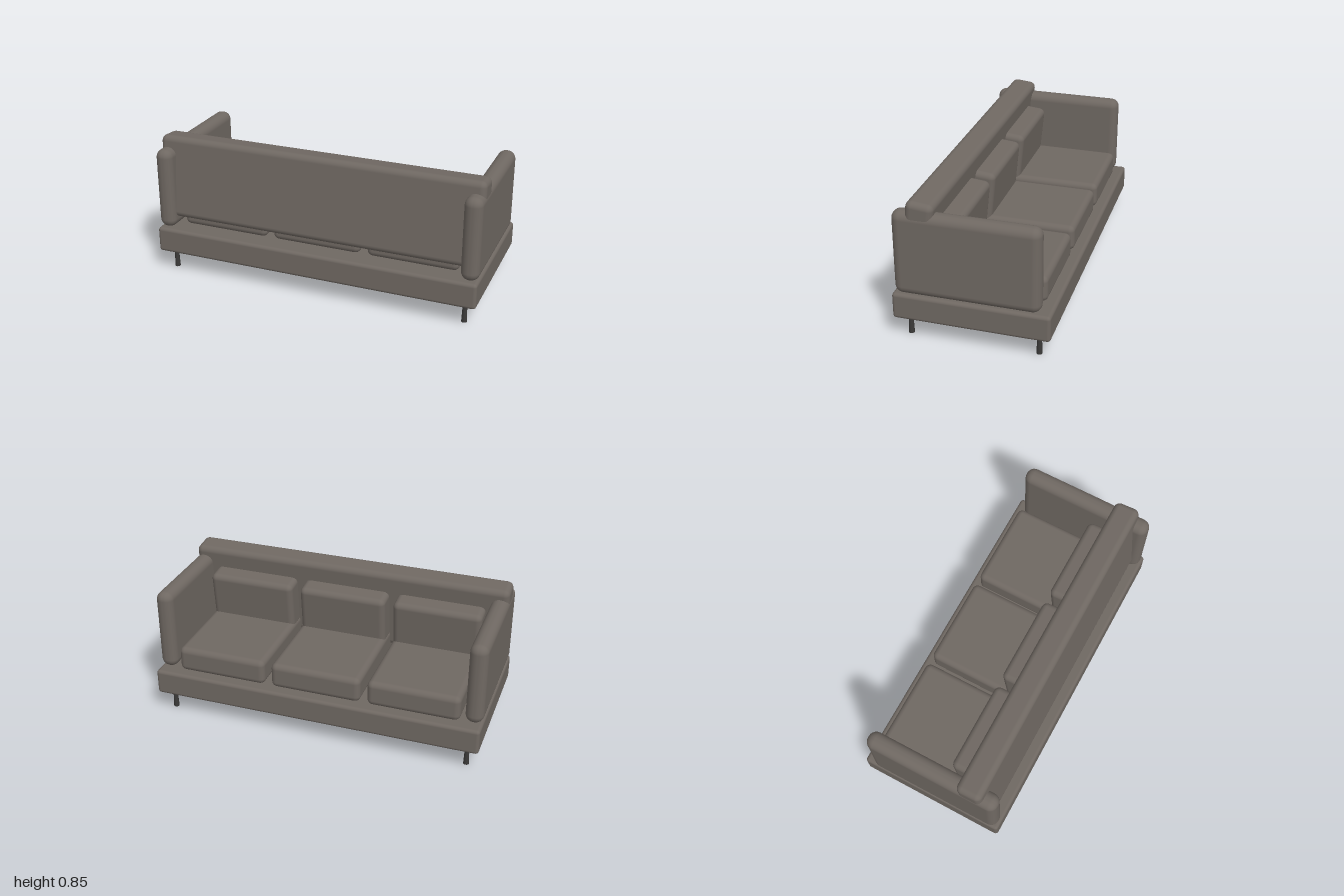
import * as THREE from 'three';
import { RoundedBoxGeometry } from 'three/addons/geometries/RoundedBoxGeometry.js';

const fabric = new THREE.MeshStandardMaterial({ color: 0x6f6862 });
const legMaterial = new THREE.MeshStandardMaterial({ color: 0x3a3938 });
const LEAN = -0.1; // backrest and back cushions tip towards the seat

// Rounded upholstery block: size and centre as [x, y, z]
function block(name, size, centre, radius, lean = 0) {
  const mesh = new THREE.Mesh(new RoundedBoxGeometry(...size, 3, radius), fabric);
  mesh.name = name;
  mesh.position.set(...centre);
  mesh.rotation.x = lean;
  return mesh;
}

export function createModel() {
  const sofa = new THREE.Group();
  sofa.name = 'sofa';

  // Platform and full-width leaning backrest
  sofa.add(block('base', [2, 0.157, 0.896], [0, 0.2025, 0], 0.02));
  sofa.add(block('backrest', [1.994, 0.505, 0.157], [0, 0.59, 0.292], 0.036, LEAN));

  // Arms
  for (const side of [-1, 1]) {
    const name = side > 0 ? 'leftArm' : 'rightArm';
    sofa.add(block(name, [0.107, 0.5, 0.826], [side * 0.9465, 0.53, 0.022], 0.05));
  }

  // Three seat cushions with matching back cushions
  for (const x of [-0.595, -0.003, 0.59]) {
    sofa.add(block('seatCushion', [0.55, 0.155, 0.73], [x, 0.3575, -0.027], 0.035));
    sofa.add(block('backCushion', [0.54, 0.32, 0.15], [x, 0.55, 0.176], 0.035, LEAN));
  }

  // Slim legs flaring towards the floor
  const legGeometry = new THREE.CylinderGeometry(0.012, 0.017, 0.13, 16);
  for (const x of [-0.922, 0.922]) {
    for (const z of [-0.37, 0.37]) {
      const leg = new THREE.Mesh(legGeometry, legMaterial);
      leg.name = 'leg';
      leg.position.set(x, 0.065, z);
      sofa.add(leg);
    }
  }
  return sofa;
}
